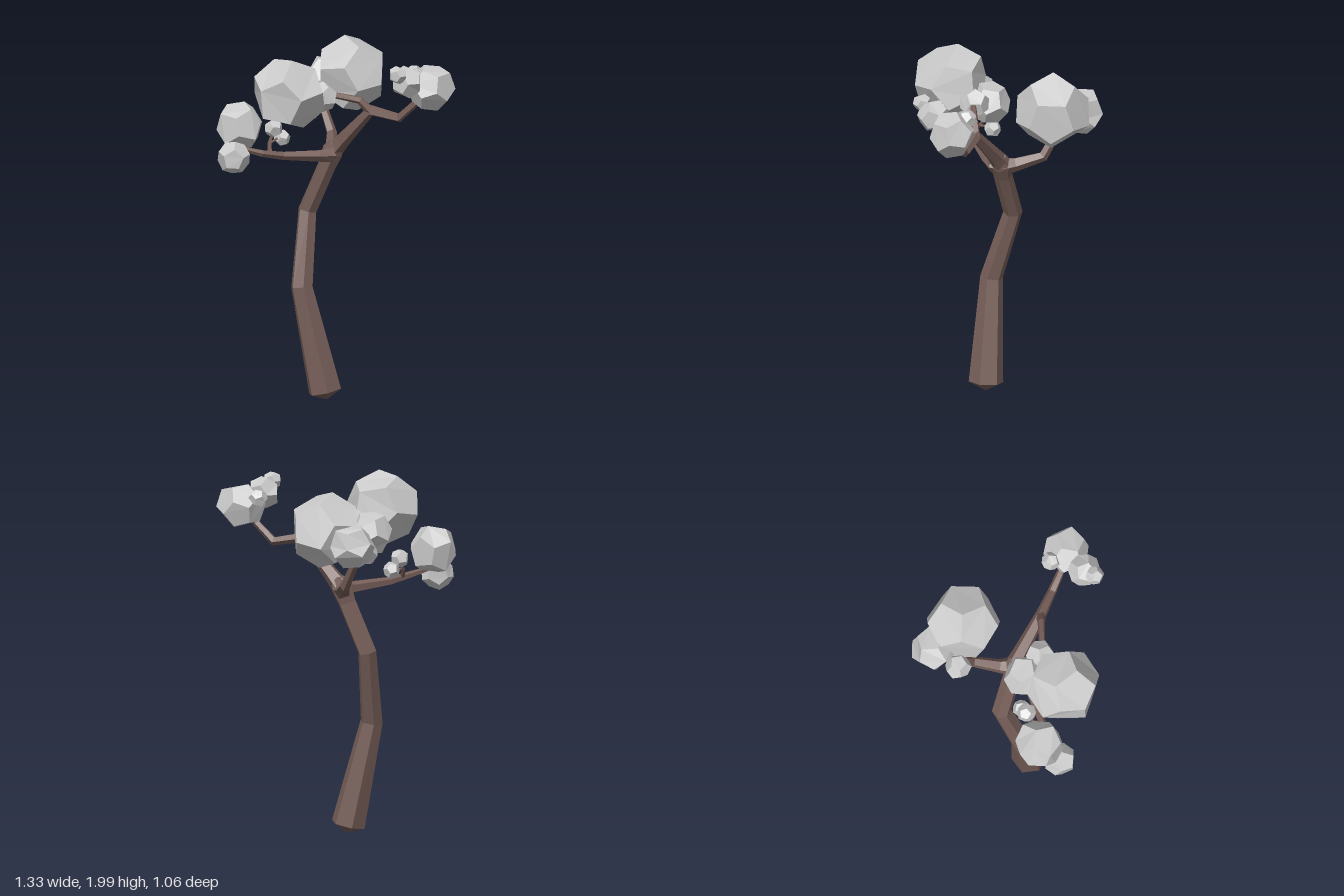
import * as THREE from 'three';

const bark = new THREE.MeshStandardMaterial({ color: 0x765e58, flatShading: true });
const leaf = new THREE.MeshStandardMaterial({ color: 0xcccccc, flatShading: true });

// Faceted limb through nodes [x, y, z, radius], closed by a blunt point at each end
function limb(name, nodes, sides = 6, blunt = 0.5) {
  const pts = nodes.map(([x, y, z]) => new THREE.Vector3(x, y, z));
  const last = pts.length - 1;
  const u = new THREE.Vector3(1, 0, 0.3);
  const tangents = pts.map((p, i) => {
    const t = new THREE.Vector3();
    if (i > 0) t.add(p.clone().sub(pts[i - 1]).normalize());
    if (i < last) t.add(pts[i + 1].clone().sub(p).normalize());
    return t.normalize();
  });
  if (Math.abs(tangents[0].x) > 0.7) u.set(0, 1, 0.3);
  const rings = pts.map((p, i) => {
    const t = tangents[i];
    u.addScaledVector(t, -u.dot(t)).normalize();
    const v = t.clone().cross(u);
    return Array.from({ length: sides }, (_, j) => {
      const a = (j / sides) * Math.PI * 2;
      return p.clone().addScaledVector(u, Math.cos(a) * nodes[i][3]).addScaledVector(v, Math.sin(a) * nodes[i][3]);
    });
  });
  const start = pts[0].clone().addScaledVector(tangents[0], -blunt * nodes[0][3]);
  const end = pts[last].clone().addScaledVector(tangents[last], blunt * nodes[last][3]);
  const tri = [];
  for (let j = 0; j < sides; j++) {
    const k = (j + 1) % sides;
    tri.push(start, rings[0][k], rings[0][j], end, rings[last][j], rings[last][k]);
    for (let i = 0; i < last; i++) {
      const a = rings[i][j], b = rings[i][k], c = rings[i + 1][k], d = rings[i + 1][j];
      tri.push(a, b, c, a, c, d);
    }
  }
  const geo = new THREE.BufferGeometry().setFromPoints(tri);
  geo.computeVertexNormals();
  const mesh = new THREE.Mesh(geo, bark);
  mesh.name = name;
  return mesh;
}

// Rough many-sided clump; shared corners move together so it stays closed
function clump(name, [x, y, z, r], seed) {
  const geo = new THREE.DodecahedronGeometry(1, 0);
  const pos = geo.attributes.position;
  const p = new THREE.Vector3();
  for (let i = 0; i < pos.count; i++) {
    p.fromBufferAttribute(pos, i);
    const wobble = Math.sin(p.x * 5.3 + seed) + Math.sin(p.y * 4.7 + seed * 2.1) + Math.sin(p.z * 6.1 + seed * 3.3);
    p.multiplyScalar(1.01 + 0.022 * wobble);
    pos.setXYZ(i, p.x, p.y, p.z);
  }
  geo.rotateY(seed * 1.3).rotateX(seed * 0.7);
  geo.computeVertexNormals();
  const mesh = new THREE.Mesh(geo, leaf);
  mesh.name = name;
  mesh.position.set(x, y, z);
  mesh.scale.setScalar(r);
  return mesh;
}

export function createModel() {
  const tree = new THREE.Group();
  tree.name = 'tree';

  // Crooked trunk, swelling slightly at the fork
  tree.add(limb('trunk', [
    [-0.06, 0.055, 0.12, 0.097], [-0.19, 0.64, 0.1, 0.064], [-0.167, 1.05, -0.02, 0.054],
    [-0.055, 1.32, 0.025, 0.052], [-0.025, 1.4, 0.03, 0.062], [0.0, 1.45, 0.045, 0.045],
  ]));

  // Main branches and side shoots
  tree.add(limb('rightBranch', [
    [-0.04, 1.38, 0.02, 0.05], [-0.035, 1.39, 0.08, 0.042], [-0.1, 1.393, 0.115, 0.034],
    [-0.29, 1.41, 0.2, 0.024], [-0.4, 1.435, 0.26, 0.02], [-0.52, 1.47, 0.29, 0.013],
  ], 5));
  tree.add(limb('leftBranch', [
    [-0.025, 1.4, 0.03, 0.055], [0.03, 1.47, 0.06, 0.045], [0.195, 1.665, 0.155, 0.033],
    [0.355, 1.635, 0.2, 0.026], [0.45, 1.73, 0.24, 0.021], [0.5, 1.79, 0.25, 0.015],
  ], 5));
  tree.add(limb('backBranch', [
    [-0.025, 1.39, 0.02, 0.055], [-0.035, 1.4, -0.05, 0.04], [-0.045, 1.45, -0.2, 0.03],
    [-0.1, 1.59, -0.28, 0.024], [-0.06, 1.72, -0.3, 0.018],
  ], 5));
  tree.add(limb('leftShoot', [
    [0.195, 1.66, 0.155, 0.03], [0.135, 1.725, 0.165, 0.022], [0.0, 1.755, 0.185, 0.018],
    [-0.16, 1.78, 0.25, 0.013],
  ], 5));
  tree.add(limb('twigStem', [[-0.36, 1.425, 0.235, 0.014], [-0.365, 1.48, 0.18, 0.01], [-0.345, 1.54, 0.14, 0.007]], 4));
  tree.add(limb('twigTip', [[-0.365, 1.475, 0.185, 0.009], [-0.33, 1.49, 0.14, 0.008], [-0.3, 1.49, 0.1, 0.006]], 4));

  // Foliage clusters: x, y, z, radius
  const foliage = {
    frontFoliage: [[-0.248, 1.8, 0.335, 0.212], [-0.185, 1.7, 0.115, 0.122], [-0.07, 1.745, 0.185, 0.085]],
    backFoliage: [[0.06, 1.78, -0.26, 0.212], [-0.085, 1.715, -0.41, 0.127], [-0.155, 1.655, -0.265, 0.073]],
    leftFoliage: [[0.535, 1.825, 0.257, 0.132], [0.41, 1.88, 0.37, 0.091], [0.365, 1.935, 0.435, 0.052], [0.44, 1.88, 0.18, 0.053]],
    rightFoliage: [[-0.53, 1.585, 0.235, 0.138], [-0.553, 1.432, 0.35, 0.094]],
    twigFoliage: [[-0.345, 1.55, 0.14, 0.053], [-0.3, 1.49, 0.105, 0.048]],
  };
  let seed = 1;
  for (const [name, balls] of Object.entries(foliage)) {
    const group = new THREE.Group();
    group.name = name;
    balls.forEach((ball, i) => group.add(clump(`${name}Clump${i + 1}`, ball, seed++)));
    tree.add(group);
  }
  return tree;
}
